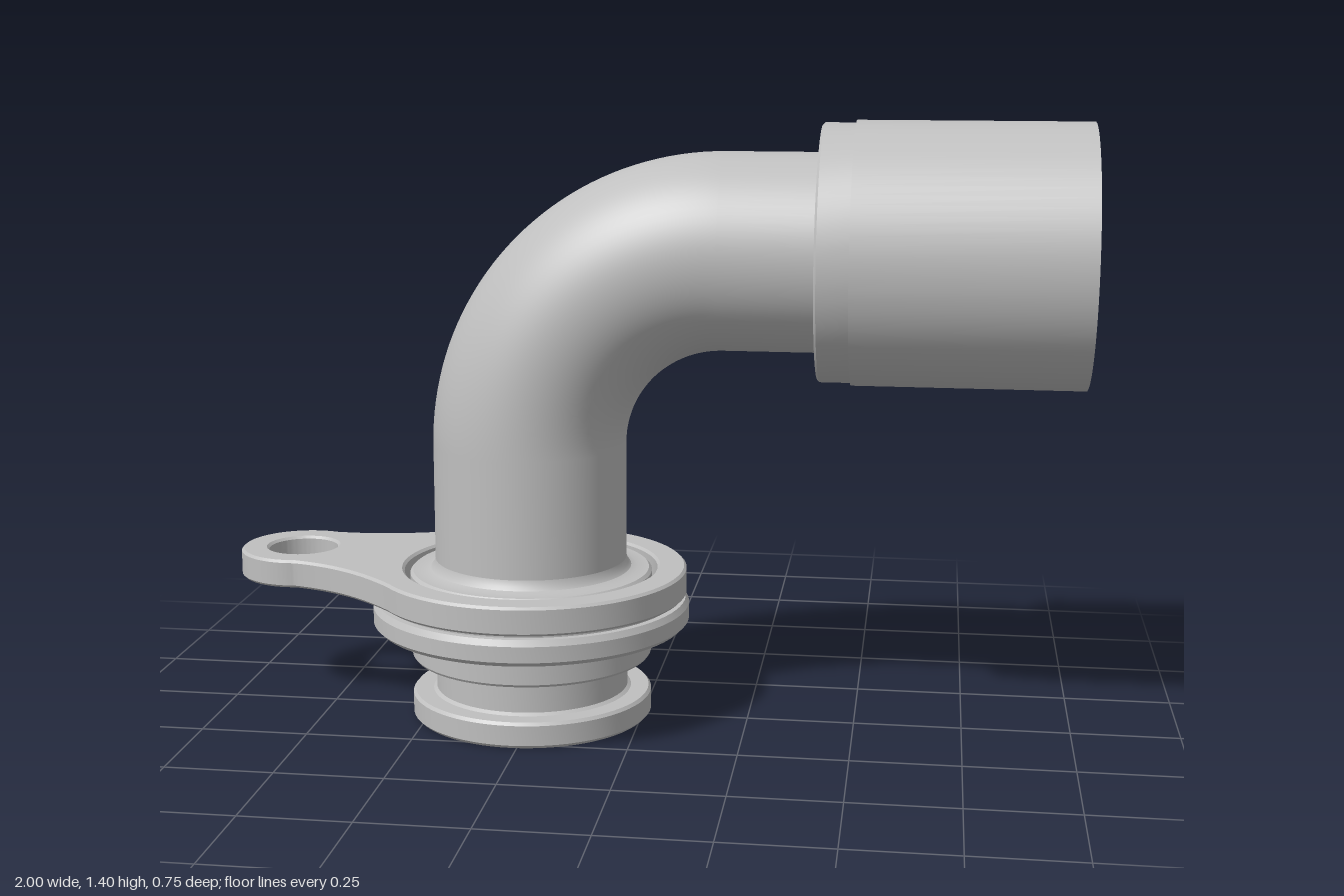
import * as THREE from 'three';
import { toCreasedNormals } from 'three/addons/utils/BufferGeometryUtils.js';

const SEG = 80;
const STEM_X = -0.265, AXIS_Y = 1.107, BEND = 0.455;
const BEND_X = STEM_X + BEND, BEND_Y = AXIS_Y - BEND;
const PIPE_R = 0.225, BORE_R = 0.186;

export function createModel() {
  const group = new THREE.Group();
  const metal = new THREE.MeshStandardMaterial({ color: 0xbfbfbf, side: THREE.DoubleSide });
  metal.name = 'grey metal';

  const add = (name, geometry, x = 0, y = 0) => {
    const mesh = new THREE.Mesh(geometry, metal);
    mesh.name = name;
    mesh.position.set(x, y, 0);
    group.add(mesh);
  };
  const lathe = (pairs) => toCreasedNormals(
    new THREE.LatheGeometry(pairs.map(([r, y]) => new THREE.Vector2(r, y)), SEG), 0.45);

  // Elbow: straight stem, quarter bend and horizontal run, as outer wall and bore
  const elbow = (name, r, bottom, end) => {
    const stem = new THREE.CylinderGeometry(r, r, BEND_Y - bottom, SEG, 1, true);
    add(name + 'Stem', stem, STEM_X, (BEND_Y + bottom) / 2);
    const bend = new THREE.TorusGeometry(BEND, r, SEG, 40, Math.PI / 2).rotateZ(Math.PI / 2);
    add(name + 'Bend', bend, BEND_X, BEND_Y);
    const run = new THREE.CylinderGeometry(r, r, end - BEND_X, SEG, 1, true).rotateZ(-Math.PI / 2);
    add(name + 'Run', run, (BEND_X + end) / 2, AXIS_Y);
  };
  elbow('pipe', PIPE_R, 0.34, 0.42);
  elbow('bore', BORE_R, 0, 0.96);

  // Spigot with seal groove, shoulder, thin flange and filleted top seat
  add('spigot', lathe([
    [BORE_R, 0], [0.275, 0], [0.283, 0.008], [0.283, 0.055], [0.277, 0.062],
    [0.235, 0.062], [0.227, 0.068], [0.227, 0.138], [0.235, 0.146],
    [0.279, 0.146], [0.283, 0.152], [0.283, 0.222],
    [0.362, 0.222], [0.373, 0.233], [0.373, 0.27], [0.365, 0.284],
    [0.35, 0.284], [0.35, 0.291], [0.285, 0.291],
    [0.285, 0.346], [0.278, 0.353], [0.25, 0.353], [0.236, 0.358],
    [0.229, 0.366], [PIPE_R, 0.38],
  ]), STEM_X);

  // Mounting plate: round body with one offset ear
  const earX = -0.85, earY = 0.095, earR = 0.149, plateR = 0.367;
  const plate = new THREE.Shape();
  const startA = 2.27, endA = -2.49;
  plate.absarc(STEM_X, 0, plateR, endA, startA, false);
  plate.bezierCurveTo(-0.585, 0.27, -0.64, 0.225, -0.8, earY + earR - 0.008);
  plate.absarc(earX, earY, earR, 1.3, 4.85, false);
  plate.bezierCurveTo(-0.73, -0.075, -0.65, -0.125,
    STEM_X + plateR * Math.cos(endA), plateR * Math.sin(endA));
  for (const [x, y, r] of [[earX, earY, 0.083], [STEM_X, 0, 0.298]]) {
    plate.holes.push(new THREE.Path().absarc(x, y, r, 0, Math.PI * 2, true));
  }
  const bevel = 0.006;
  const plateGeometry = new THREE.ExtrudeGeometry(plate, {
    depth: 0.067 - 2 * bevel, curveSegments: 48,
    bevelThickness: bevel, bevelSize: bevel, bevelOffset: -bevel, bevelSegments: 1,
  }).rotateX(-Math.PI / 2);
  add('mountingPlate', toCreasedNormals(plateGeometry, 0.45), 0, 0.291 + bevel);

  // Socket collar with tapered mouth, annular recess and inner sleeve
  add('socketCollar', lathe([
    [PIPE_R, 0.405], [0.286, 0.405], [0.291, 0.41], [0.291, 0.48], [0.297, 0.48],
    [0.297, 1], [0.275, 1], [0.253, 0.95], [0.253, 0.75],
    [0.228, 0.75], [0.228, 0.93], [0.205, 0.96], [BORE_R, 0.96],
  ]).rotateZ(-Math.PI / 2), 0, AXIS_Y);

  return group;
}
